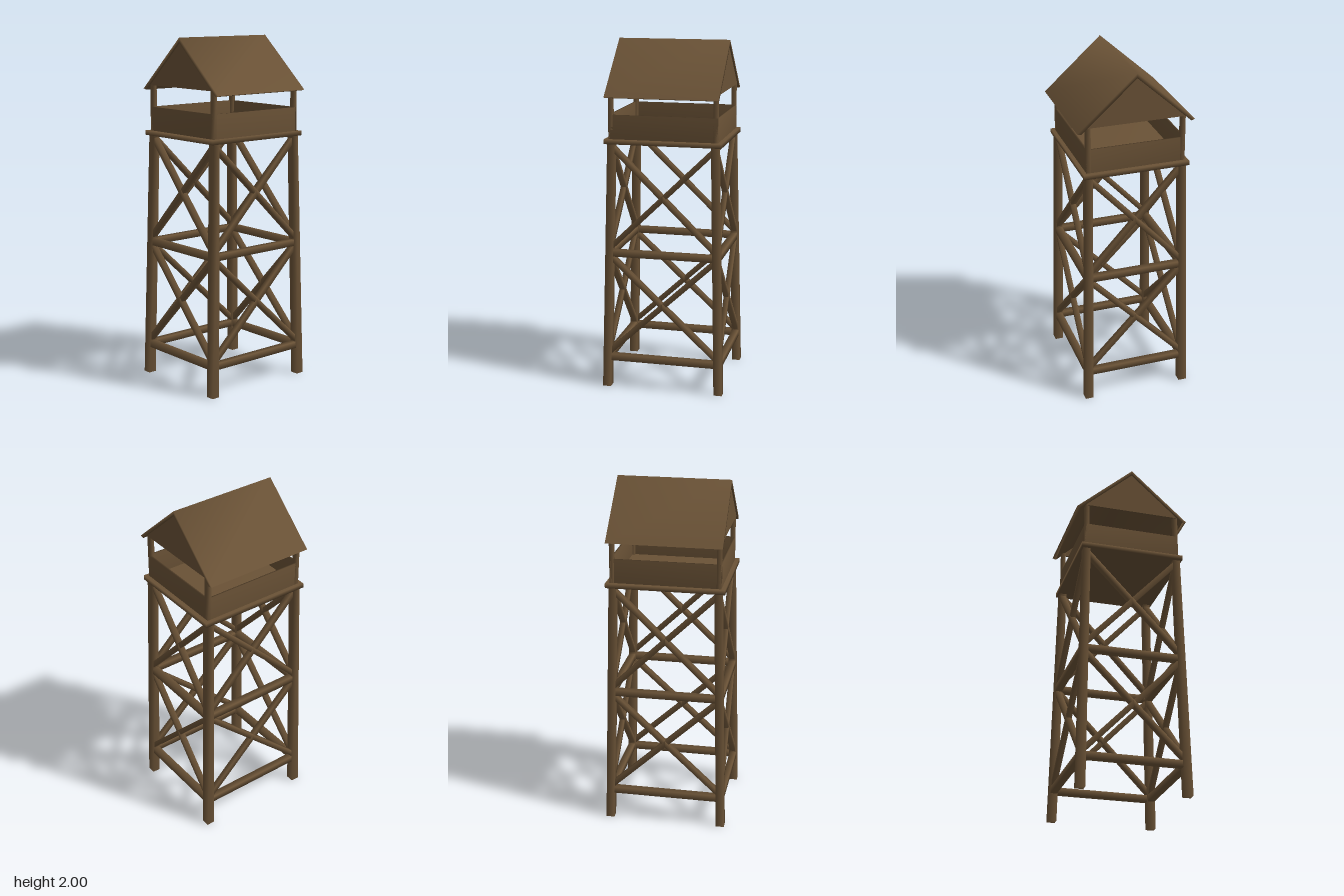
import * as THREE from 'three';
import { mergeVertices } from 'three/addons/utils/BufferGeometryUtils.js';

const wood = new THREE.MeshStandardMaterial({ color: 0x6a5236 });
wood.name = 'brown wood';

// Share corners so that shading runs softly over the edges
function soften(geometry) {
  geometry.deleteAttribute('normal');
  geometry.deleteAttribute('uv');
  const merged = mergeVertices(geometry, 1e-4);
  merged.computeVertexNormals();
  return merged;
}

function add(group, name, geometry) {
  const mesh = new THREE.Mesh(geometry, wood);
  mesh.name = name;
  group.add(mesh);
  return mesh;
}

function box(group, name, w, h, d, x, y, z) {
  add(group, name, soften(new THREE.BoxGeometry(w, h, d))).position.set(x, y, z);
}

// Square beam from a to b
function beam(group, name, a, b, width) {
  const mesh = add(group, name, soften(new THREE.BoxGeometry(width, width, a.distanceTo(b))));
  mesh.position.copy(a).lerp(b, 0.5);
  mesh.lookAt(b);
}

// Prism along z, centred on the given z
function prism(points, depth, z) {
  const shape = new THREE.Shape(points.map(([x, y]) => new THREE.Vector2(x, y)));
  return new THREE.ExtrudeGeometry(shape, { depth, bevelEnabled: false }).translate(0, 0, z - depth / 2);
}

// Centre of a leaning leg at a given height
const TOP = 1.44;
function legPoint(sx, sz, y) {
  const t = y / TOP;
  return new THREE.Vector3(sx * (0.295 - 0.026 * t), y, sz * (0.33 - 0.034 * t));
}

export function createModel() {
  const model = new THREE.Group();
  model.name = 'watchtower';
  const corners = [[1, 1], [1, -1], [-1, -1], [-1, 1]];

  // Legs: upright posts sheared inwards, and thin roof posts above them
  for (const [sx, sz] of corners) {
    const g = new THREE.BoxGeometry(0.048, TOP, 0.048).translate(0, TOP / 2, 0);
    const p = g.attributes.position;
    for (let i = 0; i < p.count; i++) {
      const c = legPoint(sx, sz, p.getY(i));
      const k = 1 - 0.12 * p.getY(i) / TOP;
      p.setXYZ(i, c.x + p.getX(i) * k, c.y, c.z + p.getZ(i) * k);
    }
    add(model, 'leg', soften(g));
    box(model, 'roofPost', 0.026, 0.28, 0.026, sx * 0.269, 1.59, sz * 0.299);
  }

  // Rails and crossed braces on each of the four sides
  corners.forEach((a, i) => {
    const b = corners[(i + 1) % 4];
    for (const y of [0.178, 0.803]) {
      beam(model, 'rail', legPoint(...a, y), legPoint(...b, y), 0.038);
    }
    for (const [low, high] of [[0.2, 0.79], [0.83, 1.42]]) {
      beam(model, 'brace', legPoint(...a, low), legPoint(...b, high), 0.03);
      beam(model, 'brace', legPoint(...b, low), legPoint(...a, high), 0.03);
    }
  });

  // Platform and parapet
  box(model, 'platform', 0.604, 0.026, 0.67, 0, 1.447, 0);
  for (const s of [1, -1]) {
    box(model, 'parapetEnd', 0.564, 0.14, 0.01, 0, 1.527, s * 0.307);
    box(model, 'parapetSide', 0.01, 0.14, 0.624, s * 0.277, 1.527, 0);
  }

  // Gable boards closing both roof ends
  for (const s of [1, -1]) {
    add(model, 'gable', prism([[-0.285, 1.722], [0.285, 1.722], [0, 1.985]], 0.01, s * 0.31));
  }

  // Folded roof slab, open underneath
  add(model, 'roof', soften(prism([
    [-0.333, 1.7], [-0.311, 1.694], [0, 1.974], [0.311, 1.694], [0.333, 1.7], [0, 2],
  ], 0.644, 0)));

  return model;
}
